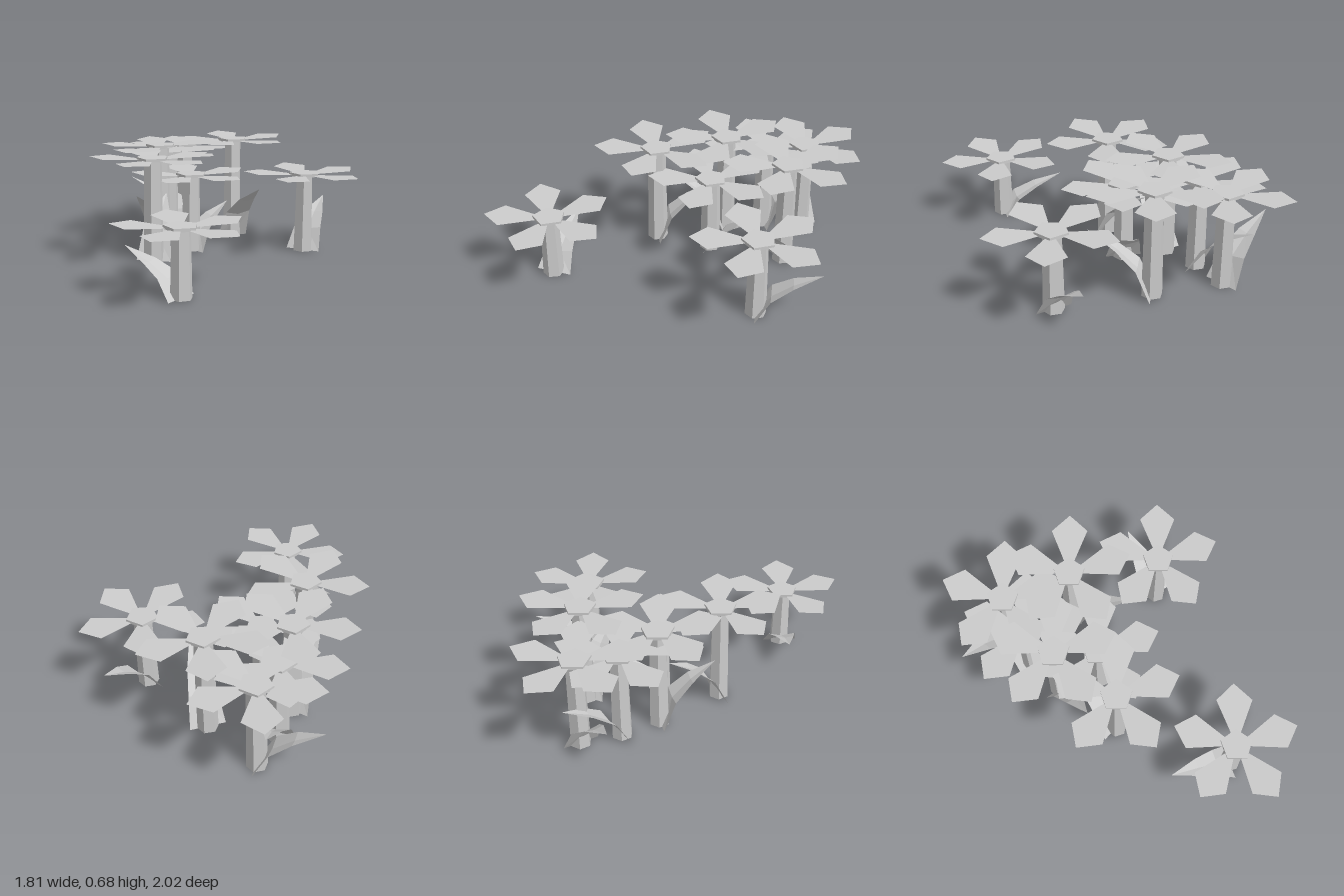
import * as THREE from 'three';

const grey = new THREE.MeshStandardMaterial({ color: 0xcccccc });
grey.name = 'plain grey';
grey.flatShading = true;
grey.side = THREE.DoubleSide;

// Each flower: stem position, height, and leaf tip position
const FLOWERS = [
  { x: -0.56, z: -0.64, h: 0.605, tip: [-0.905, 0.35, -0.45] },
  { x: -0.13, z: -0.64, h: 0.68, tip: [0.21, 0.39, -0.48] },
  { x: 0.45, z: -0.64, h: 0.51, tip: [0.37, 0.295, -1.0] },
  { x: -0.37, z: -0.18, h: 0.665, tip: [-0.275, 0.38, 0.155] },
  { x: -0.10, z: 0.19, h: 0.65, tip: [-0.27, 0.36, -0.12] },
  { x: 0.51, z: 0.635, h: 0.405, tip: [0.105, 0.23, 0.65] },
  { x: -0.49, z: -0.40, h: 0.585, tip: [-0.71, 0.345, -0.71] },
  { x: -0.10, z: -0.17, h: 0.505, tip: [-0.06, 0.28, -0.49] },
];

function part(name, geometry) {
  const mesh = new THREE.Mesh(geometry, grey);
  mesh.name = name;
  return mesh;
}

// Flat five-cornered petal pointing along +x, its tip slightly raised
function petalGeometry() {
  const shape = new THREE.Shape([
    [0.08, -0.03], [0.285, -0.11], [0.39, 0], [0.285, 0.11], [0.08, 0.03],
  ].map(([x, y]) => new THREE.Vector2(x, y)));
  const geo = new THREE.ShapeGeometry(shape);
  geo.rotateX(-Math.PI / 2);
  geo.translate(-0.08, 0, 0);
  geo.rotateZ(0.05);
  geo.translate(0.08, 0, 0);
  return geo;
}

// Creased leaf along +x: rows of left edge, midrib, right edge
function leafGeometry(length, height) {
  const rows = [ // distance, height, half width, crease depth
    [0, 0, 0.11, 0],
    [0.23, 0.48, 0.088, 0.018],
    [0.56, 0.76, 0.058, 0.012],
    [1, 1, 0.001, 0],
  ];
  const pos = [], index = [];
  rows.forEach(([d, y, w, c], r) => {
    for (const s of [-1, 0, 1]) {
      pos.push(d * length, y * height - (s === 0 ? c : 0), s * w);
    }
    if (r === 0) return;
    for (let k = 0; k < 2; k++) {
      const a = (r - 1) * 3 + k, b = a + 3;
      index.push(a, a + 1, b, a + 1, b + 1, b);
    }
  });
  const geo = new THREE.BufferGeometry();
  geo.setAttribute('position', new THREE.Float32BufferAttribute(pos, 3));
  geo.setIndex(index);
  geo.computeVertexNormals();
  return geo;
}

function createFlower({ x, z, h, tip }, petalGeo) {
  const flower = new THREE.Group();
  flower.name = 'flower';
  flower.position.set(x, 0, z);

  // Hexagonal tapering stem
  const stemHeight = h - 0.02;
  const stem = part('stem', new THREE.CylinderGeometry(0.055, 0.064, stemHeight, 6));
  stem.position.y = stemHeight / 2;
  stem.rotation.y = Math.PI / 2;
  flower.add(stem);

  // Pentagonal flower centre
  const centre = part('flowerCentre', new THREE.CylinderGeometry(0.1, 0.1, 0.02, 5));
  centre.position.y = h - 0.01;
  centre.rotation.y = Math.PI / 2;
  flower.add(centre);

  // Ring of five petals
  for (let i = 0; i < 5; i++) {
    const petal = part('petal', petalGeo);
    petal.position.y = h - 0.014;
    petal.rotation.y = (i * Math.PI * 2) / 5;
    flower.add(petal);
  }

  // Single leaf at the foot of the stem
  const dx = tip[0] - x, dz = tip[2] - z;
  const leaf = part('leaf', leafGeometry(Math.hypot(dx, dz), tip[1]));
  leaf.rotation.y = Math.atan2(-dz, dx);
  flower.add(leaf);
  return flower;
}

export function createModel() {
  const model = new THREE.Group();
  model.name = 'flowerPatch';
  const petalGeo = petalGeometry();
  for (const f of FLOWERS) model.add(createFlower(f, petalGeo));
  return model;
}
